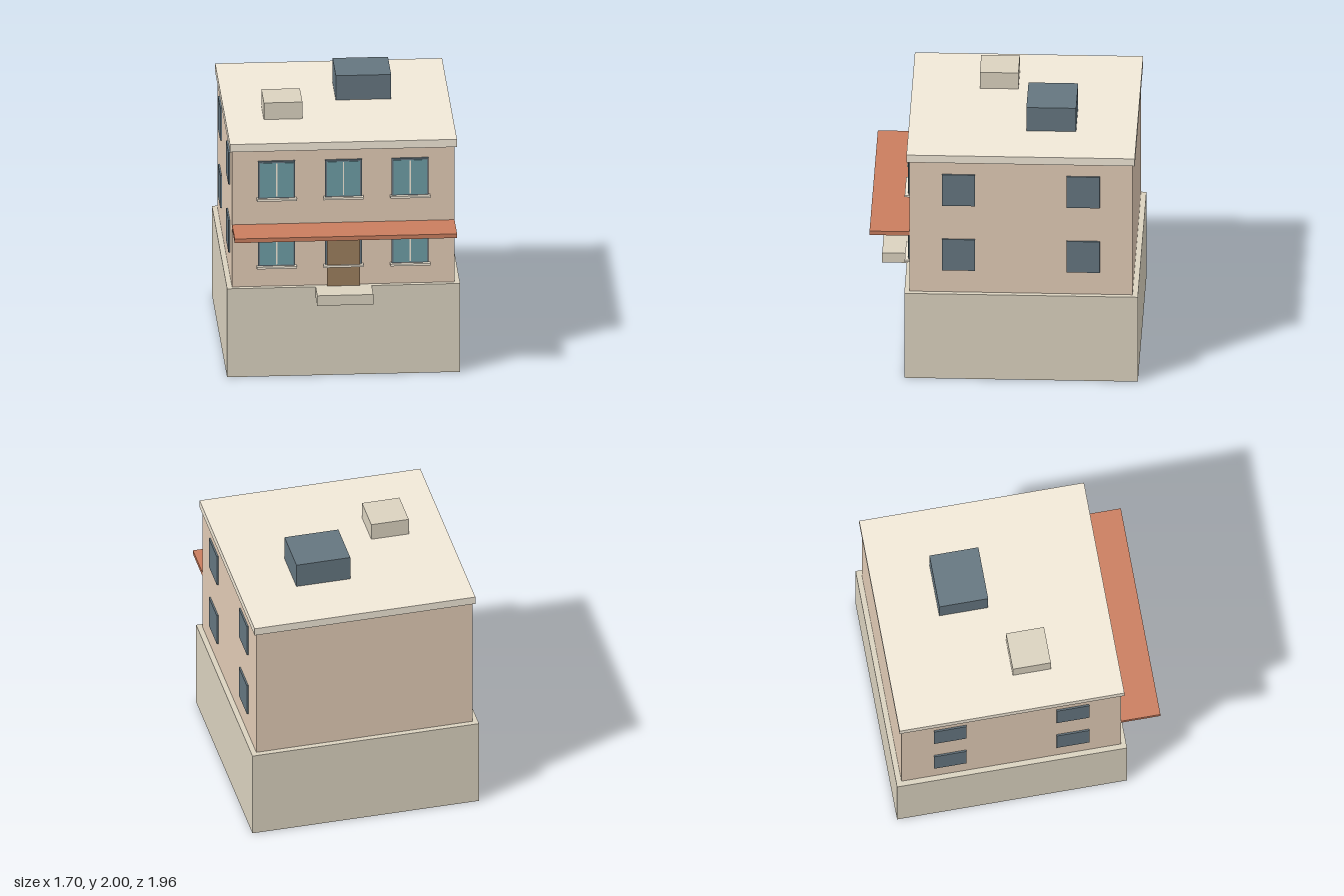
import * as THREE from 'three';

const mat = (color) => new THREE.MeshStandardMaterial({ color });

export function createModel() {
  const house = new THREE.Group();
  house.name = 'house';

  const stone = mat(0xdbd3c0);
  const plaster = mat(0xe2ccb6);
  const roofing = mat(0xf2e9d8);
  const slate = mat(0x657680);
  const glass = mat(0x6e9da5);
  const wood = mat(0x9c7e5e);
  const terracotta = mat(0xca7e5f);

  // Box given by its extents along each axis
  const box = (name, [x0, x1], [y0, y1], [z0, z1], material, parent = house) => {
    const mesh = new THREE.Mesh(new THREE.BoxGeometry(x1 - x0, y1 - y0, z1 - z0), material);
    mesh.position.set((x0 + x1) / 2, (y0 + y1) / 2, (z0 + z1) / 2);
    mesh.name = name;
    parent.add(mesh);
    return mesh;
  };

  // Main volumes
  box('plinth', [-0.852, 0.852], [0, 0.69], [-0.98, 0.725], stone);
  box('walls', [-0.813, 0.813], [0.69, 1.75], [-0.94, 0.688], plaster);
  box('roofSlab', [-0.83, 0.83], [1.75, 1.81], [-0.957, 0.71], roofing);

  // Rooftop boxes
  box('roofHatch', [-0.55, -0.268], [1.81, 1.94], [-0.067, 0.215], stone);
  box('roofUnit', [0, 0.405], [1.81, 2], [-0.513, -0.15], slate);

  // Entrance and awning
  box('awning', [-0.813, 0.813], [1.143, 1.175], [0.688, 0.98], terracotta);
  box('door', [-0.12, 0.12], [0.69, 1.098], [0.698, 0.716], wood);
  box('entranceStep', [-0.205, 0.205], [0.612, 0.69], [0.725, 0.91], stone);

  // Front windows: frame, pane, mullion and sill
  for (const y of [0.85, 1.378]) {
    for (const x of [-0.488, 0, 0.488]) {
      const win = new THREE.Group();
      win.name = 'frontWindow';
      win.position.set(x, y, 0.688);
      box('windowFrame', [-0.135, 0.135], [0, 0.29], [0, 0.016], slate, win);
      box('windowPane', [-0.121, 0.121], [0.012, 0.278], [0, 0.02], glass, win);
      box('mullion', [-0.005, 0.005], [0.018, 0.275], [0.01, 0.024], roofing, win);
      box('windowSill', [-0.146, 0.146], [-0.012, 0.004], [0, 0.042], roofing, win);
      house.add(win);
    }
  }

  // Side windows, mirrored on both flanks
  for (const side of [-1, 1]) {
    for (const y of [0.87, 1.398]) {
      for (const z of [0.33, -0.58]) {
        const pane = box('sideWindow', [-0.0125, 0.0125], [y, y + 0.253], [z - 0.121, z + 0.121], slate);
        pane.position.x = side * 0.8125;
      }
    }
  }

  return house;
}
